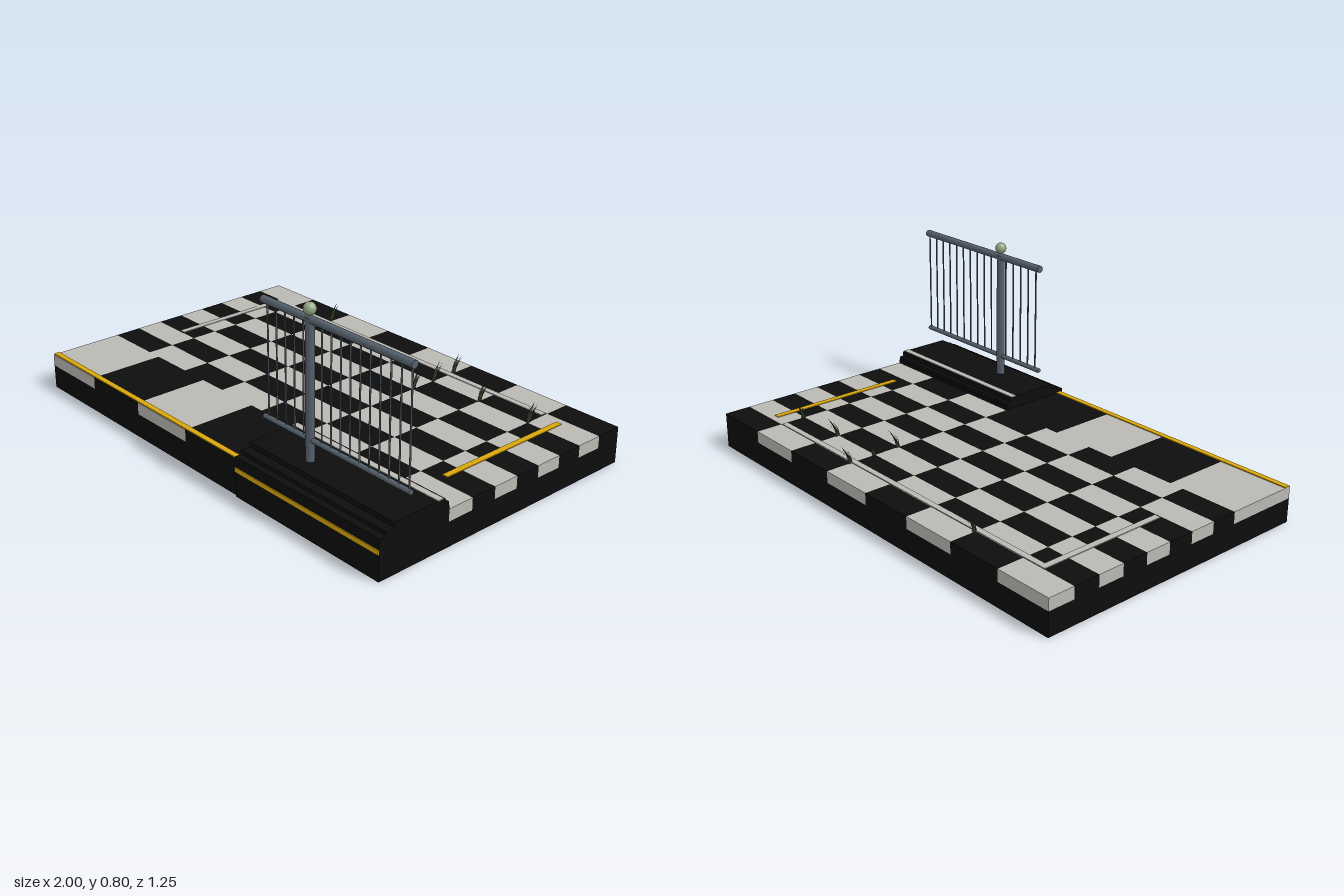
import * as THREE from 'three';
import { mergeGeometries } from 'three/addons/utils/BufferGeometryUtils.js';

const material = (name, color, side = THREE.FrontSide) => {
  const m = new THREE.MeshStandardMaterial({ color, side });
  m.name = name;
  return m;
};

// Box geometry given by its limits on each axis
function span(x0, x1, y0, y1, z0, z1) {
  return new THREE.BoxGeometry(x1 - x0, y1 - y0, z1 - z0)
    .translate((x0 + x1) / 2, (y0 + y1) / 2, (z0 + z1) / 2);
}

// One narrow blade, wide in the middle, bending to the back
function blade(x, z, angle, height) {
  const pos = [], index = [], n = 4;
  for (let i = 0; i <= n; i++) {
    const t = i / n;
    const w = 0.0045 * (1 - t) * (0.6 + 1.6 * t);
    const cx = x + Math.sin(angle) * 0.012 * (0.3 + t);
    const cz = z + Math.cos(angle) * 0.008 - 0.032 * t * t;
    const dx = Math.cos(angle) * w, dz = -Math.sin(angle) * w;
    pos.push(cx - dx, 0.15 + height * t, cz - dz, cx + dx, 0.15 + height * t, cz + dz);
    if (i < n) index.push(2 * i, 2 * i + 1, 2 * i + 2, 2 * i + 1, 2 * i + 3, 2 * i + 2);
  }
  const g = new THREE.BufferGeometry();
  g.setAttribute('position', new THREE.Float32BufferAttribute(pos, 3));
  g.setIndex(index);
  g.computeVertexNormals();
  return g;
}

export function createModel() {
  const model = new THREE.Group();
  const black = material('black stone', 0x0d0d0d);
  const pale = material('pale stone', 0xbab8b2);
  const yellow = material('yellow paint', 0xd9a60c);
  const steel = material('blue grey steel', 0x56616c);
  const sage = material('sage knob', 0x93a886);
  const green = material('grass green', 0x46573a, THREE.DoubleSide);

  const add = (name, geometry, mat, parent = model) => {
    const mesh = new THREE.Mesh(geometry, mat);
    mesh.name = name;
    parent.add(mesh);
    return mesh;
  };

  // Foundation
  const back = -0.625, split = 0.297, front = 0.617;
  add('base', span(-1, 1, 0, 0.1, back, split), black);
  add('frontBase', span(-1, 0.25, 0, 0.1, split, front), black);

  // Checkered floor tiles and the larger slabs along the front
  const dark = [], light = [];
  const rows = 8, cols = 8, depth = (split - back) / rows;
  for (let r = 0; r < rows; r++) {
    for (let c = 0; c < cols; c++) {
      const x = -1 + c * 0.25, z = back + r * depth;
      ((r + c) % 2 ? dark : light).push(span(x, x + 0.25, 0.1, 0.15, z, z + depth));
    }
  }
  for (let i = 0; i < 4; i++) {
    const x = -1 + i * 0.3125;
    (i % 2 ? dark : light).push(span(x, x + 0.3125, 0.1, 0.15, split, front));
  }
  add('darkTiles', mergeGeometries(dark), black);
  add('paleTiles', mergeGeometries(light), pale);

  // Painted floor lines
  add('backLine', span(-0.855, 0.745, 0.15, 0.153, -0.508, -0.482), pale);
  add('sideLine', span(-0.855, -0.828, 0.15, 0.153, -0.482, 0.06), pale);
  add('yellowSideLine', span(0.82, 0.846, 0.15, 0.153, -0.48, 0.145), yellow);
  add('yellowEdgeLine', span(-1, 0.25, 0.15, 0.154, 0.59, 0.614), yellow);

  // Stepped platform
  const platform = new THREE.Group();
  platform.name = 'platform';
  model.add(platform);
  add('platformLower', span(0.25, 1, 0, 0.165, split, 0.624), black, platform);
  add('platformMiddle', span(0.25, 1, 0.165, 0.18, 0.3, 0.595), black, platform);
  add('platformTop', span(0.25, 1, 0.18, 0.2, 0.32, 0.556), black, platform);
  add('platformPaleLine', span(0.25, 1, 0.2, 0.203, 0.327, 0.354), pale, platform);
  add('platformYellowLine', span(0.25, 1, 0.103, 0.122, 0.624, 0.628), yellow, platform);

  // Railing
  const railing = new THREE.Group();
  railing.name = 'railing';
  railing.position.z = 0.483;
  model.add(railing);
  const rail = (name, y, r) => {
    const g = new THREE.CylinderGeometry(r, r, 0.75, 12).rotateZ(Math.PI / 2);
    add(name, g, steel, railing).position.set(0.625, y, 0);
  };
  rail('topRail', 0.738, 0.015);
  rail('bottomRail', 0.283, 0.01);
  add('post', new THREE.CylinderGeometry(0.0175, 0.0175, 0.545, 12), steel, railing)
    .position.set(0.5, 0.4725, 0);
  add('postKnob', new THREE.SphereGeometry(0.024, 16, 12), sage, railing)
    .position.set(0.5, 0.776, 0);
  for (let i = 0; i < 16; i++) {
    add('baluster', new THREE.CylinderGeometry(0.0035, 0.0035, 0.455, 6), steel, railing)
      .position.set(0.275 + i * 0.0477, 0.51, 0);
  }

  // Grass growing from the joints
  const tufts = [[-0.5, -0.515], [0.25, -0.515], [0.25, -0.4], [0.5, -0.4], [0.75, -0.4], [0.25, -0.283]];
  for (const [x, z] of tufts) {
    const blades = [];
    for (let i = 0; i < 7; i++) {
      blades.push(blade(x, z, i * 2 * Math.PI / 7, 0.05 + 0.03 * ((i * 3) % 7) / 6));
    }
    add('grassTuft', mergeGeometries(blades), green);
  }
  return model;
}
